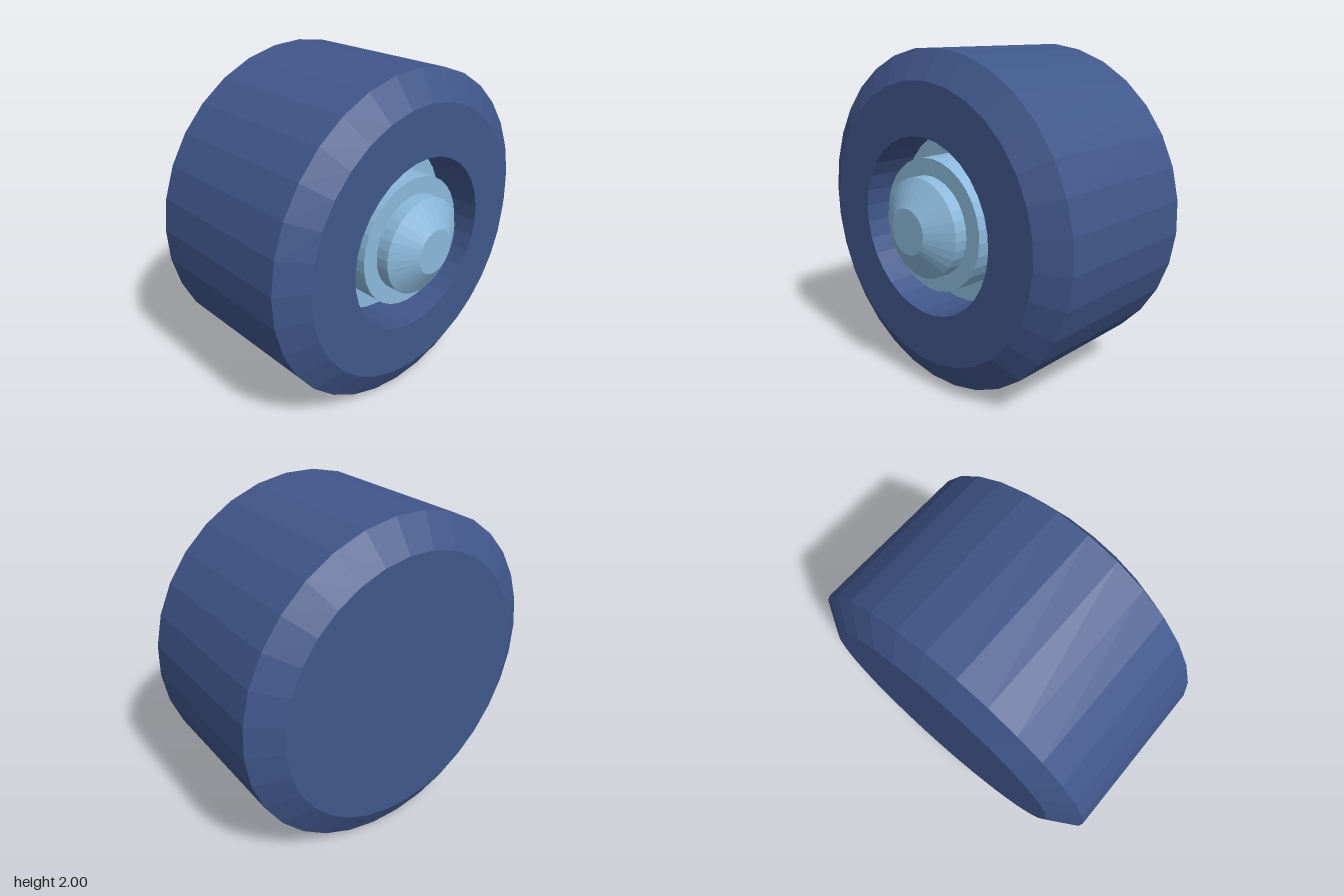
import * as THREE from 'three';

const SIDES = 32;
const START = THREE.MathUtils.degToRad(-3.3);

// Turned part around the x axle; profile points are [radius, x] from the back to the outer face
function turned(name, profile, color) {
  const points = profile.map(([r, x]) => new THREE.Vector2(r, x));
  const geometry = new THREE.LatheGeometry(points, SIDES, START);
  geometry.rotateZ(-Math.PI / 2);
  const material = new THREE.MeshStandardMaterial({ color, flatShading: true });
  const mesh = new THREE.Mesh(geometry, material);
  mesh.name = name;
  mesh.position.y = 1;
  return mesh;
}

export function createModel() {
  const wheel = new THREE.Group();
  wheel.name = 'wheel';

  // Chamfered tyre with a closed inner face and a deep recess in the outer face
  wheel.add(turned('tyre', [
    [0, -0.65], [0.82, -0.65], [1, -0.545], [1, 0.44],
    [0.83, 0.54], [0.525, 0.54], [0.525, 0.24],
  ], 0x40578b));

  // Recess floor, stepped hub and bevelled cap
  wheel.add(turned('hub', [
    [0.525, 0.24], [0.395, 0.24], [0.395, 0.475], [0.295, 0.475],
    [0.295, 0.555], [0.135, 0.65], [0, 0.65],
  ], 0x8ab8da));

  return wheel;
}
